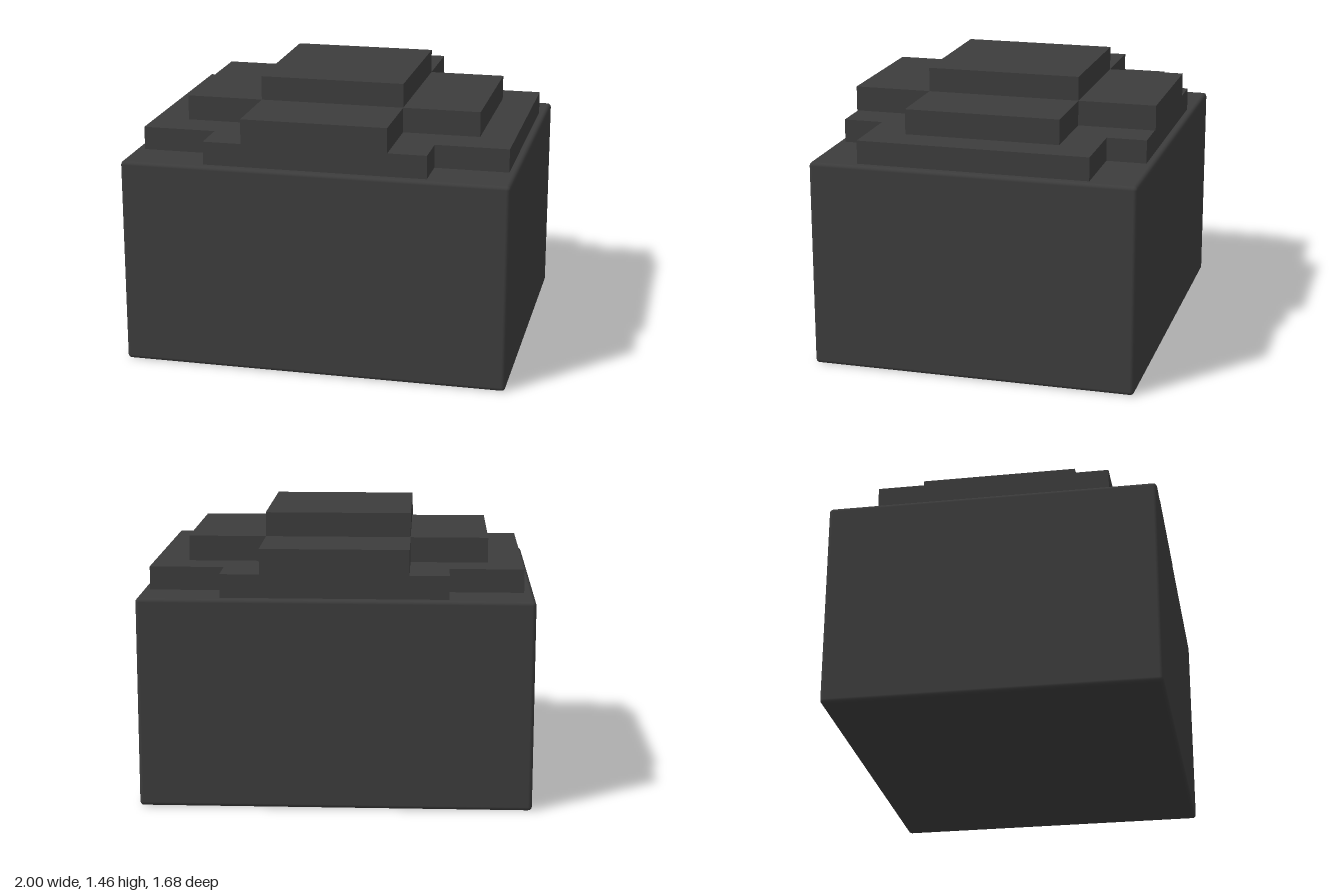
import * as THREE from 'three';
import { RoundedBoxGeometry } from 'three/addons/geometries/RoundedBoxGeometry.js';

const CENTRE_X = 0.005; // the stepped top sits slightly off centre

// Upright plus-shaped slab: one bar along x, one bar along z (half sizes)
function crossSlab(barX, barXDepth, barZWidth, barZ, y0, y1) {
  const quarter = [[barX, barXDepth], [barZWidth, barXDepth], [barZWidth, barZ]];
  const mirrored = (sx, sz) => quarter.map(([x, z]) => new THREE.Vector2(x * sx, z * sz));
  const outline = [
    ...mirrored(1, 1), ...mirrored(-1, 1).reverse(),
    ...mirrored(-1, -1), ...mirrored(1, -1).reverse(),
  ];
  const geometry = new THREE.ExtrudeGeometry(new THREE.Shape(outline), { depth: y1 - y0, bevelEnabled: false });
  return geometry.rotateX(-Math.PI / 2).translate(CENTRE_X, y0, 0);
}

export function createModel() {
  const model = new THREE.Group();
  const material = new THREE.MeshStandardMaterial({ color: 0x3c3c3c });
  const add = (name, geometry) => {
    const mesh = new THREE.Mesh(geometry, material);
    mesh.name = name;
    model.add(mesh);
  };

  // Main block with softened edges
  add('body', new RoundedBoxGeometry(2, 1.08, 1.68, 2, 0.02).translate(0, 0.54, 0));

  // Stepped top, from the widest tier to the cap
  add('lowerTier', crossSlab(0.955, 0.595, 0.575, 0.8, 1.07, 1.2));
  add('middleTier', crossSlab(0.775, 0.4, 0.375, 0.805, 1.2, 1.33));
  add('topCap', new THREE.BoxGeometry(0.75, 0.125, 0.8).translate(CENTRE_X, 1.3925, 0));

  return model;
}
